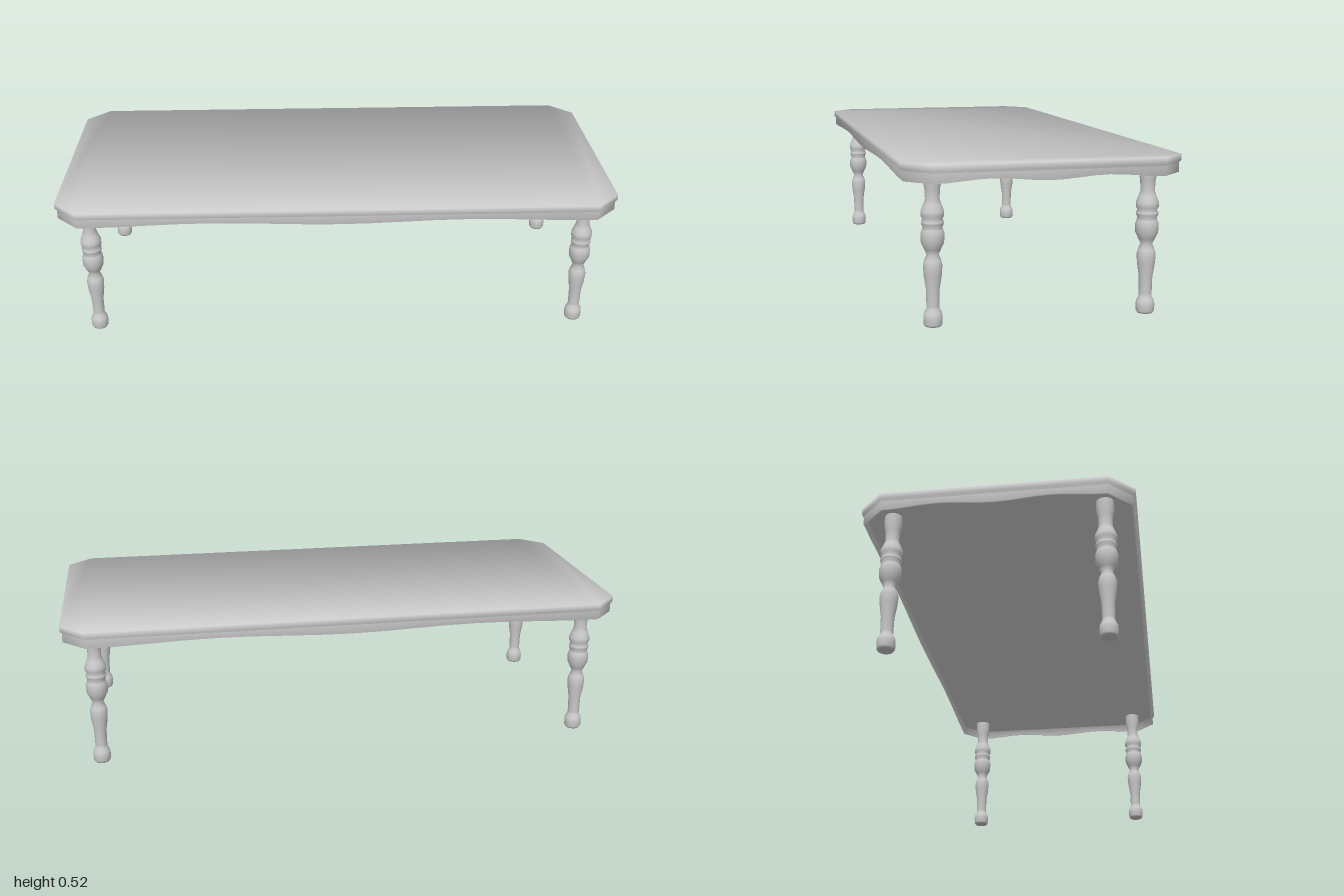
import * as THREE from 'three';

const HALF_X = 1, HALF_Z = 0.458, CUT = 0.083;
const grey = new THREE.MeshStandardMaterial({ color: 0xcccccc, side: THREE.DoubleSide });

// Corner points of the octagonal outline, each with its mitred outward direction
function corners() {
  const a = HALF_X, b = HALF_Z, c = CUT;
  const big = Math.cos(Math.PI / 8), small = Math.sin(Math.PI / 8);
  const front = [
    { x: -a, z: b - c, nx: -big, nz: small },
    { x: -a + c, z: b, nx: -small, nz: big },
    { x: a - c, z: b, nx: small, nz: big },
    { x: a, z: b - c, nx: big, nz: small },
  ];
  const back = front.map(p => ({ ...p, z: -p.z, nz: -p.nz })).reverse();
  return [...front, ...back];
}

// Outline with the four main sides subdivided; "wave" is the scallop height
function wavyOutline(steps) {
  const pts = corners(), out = [];
  pts.forEach((p, i) => {
    const q = pts[(i + 1) % 8];
    const n = i % 2 ? steps : 1;
    for (let k = 0; k < n; k++) {
      const t = k / n;
      out.push({
        x: p.x + (q.x - p.x) * t, z: p.z + (q.z - p.z) * t,
        nx: p.nx + (q.nx - p.nx) * t, nz: p.nz + (q.nz - p.nz) * t,
        wave: Math.sin(2 * Math.PI * t) ** 2,
      });
    }
  });
  return out;
}

// Lofts rings over an outline. ring: inset, y (number or function), out and up = normal direction
function loft(outline, rings, cap) {
  const pos = [], nor = [], idx = [], n = outline.length;
  const n3 = new THREE.Vector3();
  for (const r of rings) {
    for (const p of outline) {
      const d = r.inset / Math.cos(Math.PI / 8);
      pos.push(p.x - p.nx * d, typeof r.y === 'function' ? r.y(p) : r.y, p.z - p.nz * d);
      n3.set(p.nx * r.out, r.up, p.nz * r.out).normalize();
      nor.push(n3.x, n3.y, n3.z);
    }
  }
  for (let r = 0; r < rings.length - 1; r++) {
    for (let i = 0; i < n; i++) {
      const j = (i + 1) % n, a = r * n, b = a + n;
      idx.push(a + i, b + i, b + j, a + i, b + j, a + j);
    }
  }
  // Flat cap on the first ring, in strips running from front to back
  if (cap) {
    for (let i = 0; i < n / 2 - 1; i++) {
      const a = i, b = i + 1, c = n - 2 - i, d = n - 1 - i;
      if (cap === 'up') idx.push(a, b, c, a, c, d);
      else idx.push(a, c, b, a, d, c);
    }
  }
  const g = new THREE.BufferGeometry();
  g.setAttribute('position', new THREE.Float32BufferAttribute(pos, 3));
  g.setAttribute('normal', new THREE.Float32BufferAttribute(nor, 3));
  g.setIndex(idx);
  return g;
}

function add(parent, name, geometry) {
  const mesh = new THREE.Mesh(geometry, grey);
  mesh.name = name;
  parent.add(mesh);
  return mesh;
}

export function createModel() {
  const table = new THREE.Group();
  table.name = 'table';

  // Softly shaded top board with a lip undercut
  add(table, 'tableTop', loft(corners(), [
    { inset: 0, y: 0.525, out: 1, up: 1 },
    { inset: 0, y: 0.505, out: 1, up: -0.2 },
    { inset: 0.007, y: 0.498, out: 1, up: -0.2 },
  ], 'up'));

  // Underside of the board, shaded into the inner apron wall
  add(table, 'underside', loft(corners(), [
    { inset: 0.014, y: 0.5, out: -1, up: -1 },
  ], 'down'));

  // Thin scalloped apron: outer wall, lower edge, inner wall
  const scallop = p => 0.466 + 0.012 * p.wave;
  add(table, 'apron', loft(wavyOutline(16), [
    { inset: 0.007, y: 0.5, out: 1, up: 0 },
    { inset: 0.007, y: scallop, out: 1, up: -0.2 },
    { inset: 0.014, y: scallop, out: -1, up: -0.2 },
    { inset: 0.014, y: 0.5, out: -1, up: -0.5 },
  ]));

  // Turned legs
  const profile = [
    [0, 0], [0.026, 0], [0.03, 0.007], [0.031, 0.028], [0.029, 0.042], [0.021, 0.056],
    [0.021, 0.065], [0.022, 0.12], [0.029, 0.165], [0.031, 0.195], [0.027, 0.212],
    [0.019, 0.23], [0.027, 0.247], [0.037, 0.268], [0.038, 0.295], [0.034, 0.308],
    [0.031, 0.316], [0.036, 0.328], [0.036, 0.334], [0.031, 0.343], [0.037, 0.352],
    [0.037, 0.368], [0.029, 0.388], [0.023, 0.405], [0.025, 0.44], [0.03, 0.465], [0.03, 0.502],
  ].map(([r, y]) => new THREE.Vector2(r, y));
  const legGeometry = new THREE.LatheGeometry(profile, 16);
  for (const [side, sx] of [['Left', 1], ['Right', -1]]) {
    for (const [end, sz] of [['front', 1], ['back', -1]]) {
      add(table, `${end}${side}Leg`, legGeometry).position.set(sx * 0.89, 0, sz * 0.355);
    }
  }
  return table;
}
